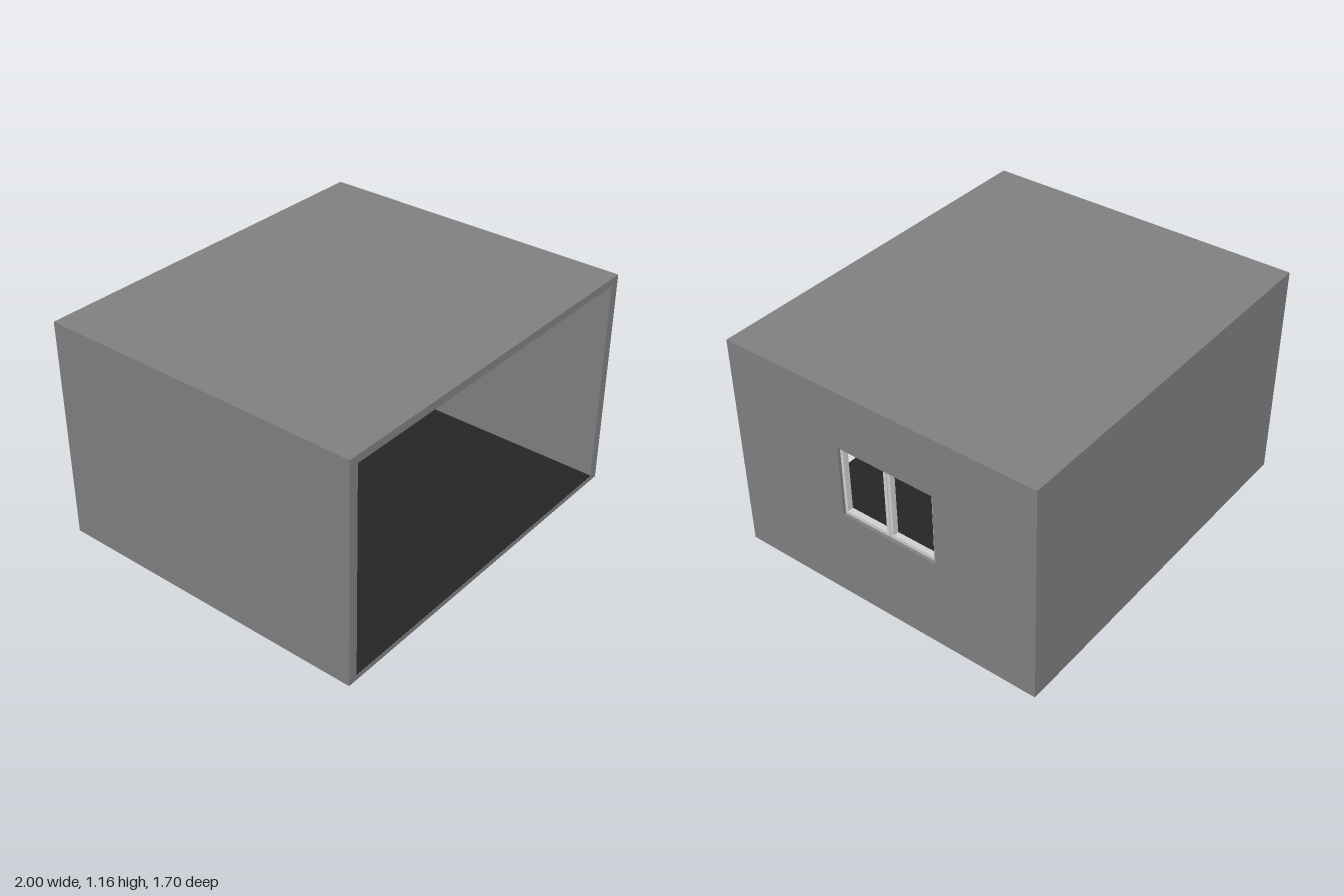
import * as THREE from 'three';

const wallMat = new THREE.MeshStandardMaterial({ color: 0x808080 });
wallMat.name = 'wall grey';
const paleMat = new THREE.MeshStandardMaterial({ color: 0xd0d0d0 });
paleMat.name = 'pale grey';
const floorMat = new THREE.MeshStandardMaterial({ color: 0x252525 });
floorMat.name = 'dark floor';

const W = 1, H = 1.165, D = 0.852;            // half width, height, half depth
const IN = 0.95, FLOOR = 0.027, CEIL = 1.125; // interior limits
const BACK = -0.8;

// Closed outline from corner points
function outline(points) {
  return new THREE.Shape(points.map(([x, y]) => new THREE.Vector2(x, y)));
}

function rect(x0, y0, x1, y1) {
  return outline([[x0, y0], [x1, y0], [x1, y1], [x0, y1]]);
}

// Rectangle with rounded corners
function roundRect(x0, y0, x1, y1, r) {
  const s = new THREE.Shape();
  s.absarc(x1 - r, y1 - r, r, 0, Math.PI / 2);
  s.absarc(x0 + r, y1 - r, r, Math.PI / 2, Math.PI);
  s.absarc(x0 + r, y0 + r, r, Math.PI, Math.PI * 1.5);
  s.absarc(x1 - r, y0 + r, r, Math.PI * 1.5, Math.PI * 2);
  return s;
}

function extrude(name, shape, depth, mat, hole, bevel = 0) {
  if (hole) shape.holes.push(hole);
  const geo = new THREE.ExtrudeGeometry(shape, {
    depth, bevelEnabled: bevel > 0, bevelSize: bevel, bevelThickness: bevel,
    bevelOffset: -bevel, bevelSegments: 2, curveSegments: 5,
  });
  const mesh = new THREE.Mesh(geo, mat);
  mesh.name = name;
  return mesh;
}

function box(name, x0, x1, y0, y1, z0, z1, mat) {
  const mesh = new THREE.Mesh(new THREE.BoxGeometry(x1 - x0, y1 - y0, z1 - z0), mat);
  mesh.position.set((x0 + x1) / 2, (y0 + y1) / 2, (z0 + z1) / 2);
  mesh.name = name;
  return mesh;
}

export function createModel() {
  const room = new THREE.Group();
  room.name = 'room';

  // Base, right-hand wall and roof as one C-shaped section
  const shell = extrude('baseWallAndRoof', outline([
    [-W, 0], [W, 0], [W, FLOOR], [-IN, FLOOR], [-IN, CEIL], [W, CEIL], [W, H], [-W, H],
  ]), 2 * D, wallMat);
  shell.position.z = -D;
  room.add(shell);

  room.add(box('backWall', -IN, IN, FLOOR, CEIL, -D, BACK, wallMat));
  room.add(box('floorCovering', -IN, IN, FLOOR, FLOOR + 0.004, BACK, D - 0.001, floorMat));

  // Wall with the window opening; its outline runs along -z
  const win = { a: -0.22, b: 0.312, y0: 0.478, y1: 0.86 };
  const side = extrude('windowWall', rect(-D, FLOOR, D, CEIL), W - IN, wallMat,
    rect(win.a, win.y0, win.b, win.y1));
  side.rotation.y = Math.PI / 2;
  side.position.x = IN;
  room.add(side);

  // Two slim window sashes set back in the opening
  const windowGroup = new THREE.Group();
  windowGroup.name = 'window';
  const mid = (win.a + win.b) / 2;
  for (const [name, a, b] of [['frontSash', win.a, mid - 0.003], ['backSash', mid + 0.003, win.b]]) {
    const sash = extrude(name, rect(a, win.y0, b, win.y1), 0.03, paleMat,
      rect(a + 0.016, win.y0 + 0.018, b - 0.016, win.y1 - 0.014));
    sash.rotation.y = Math.PI / 2;
    sash.position.x = IN + 0.004;
    windowGroup.add(sash);
  }
  room.add(windowGroup);

  // Framed board on the back wall
  const board = new THREE.Group();
  board.name = 'wallBoard';
  const frame = extrude('boardFrame', roundRect(-0.479, 0.265, 0.458, 0.885, 0.015), 0.034, paleMat,
    roundRect(-0.45, 0.294, 0.43, 0.858, 0.012), 0.008);
  frame.position.z = BACK + 0.008;
  board.add(frame);
  board.add(box('boardPanel', -0.45, 0.43, 0.294, 0.858, BACK, BACK + 0.025, paleMat));
  room.add(board);

  return room;
}
